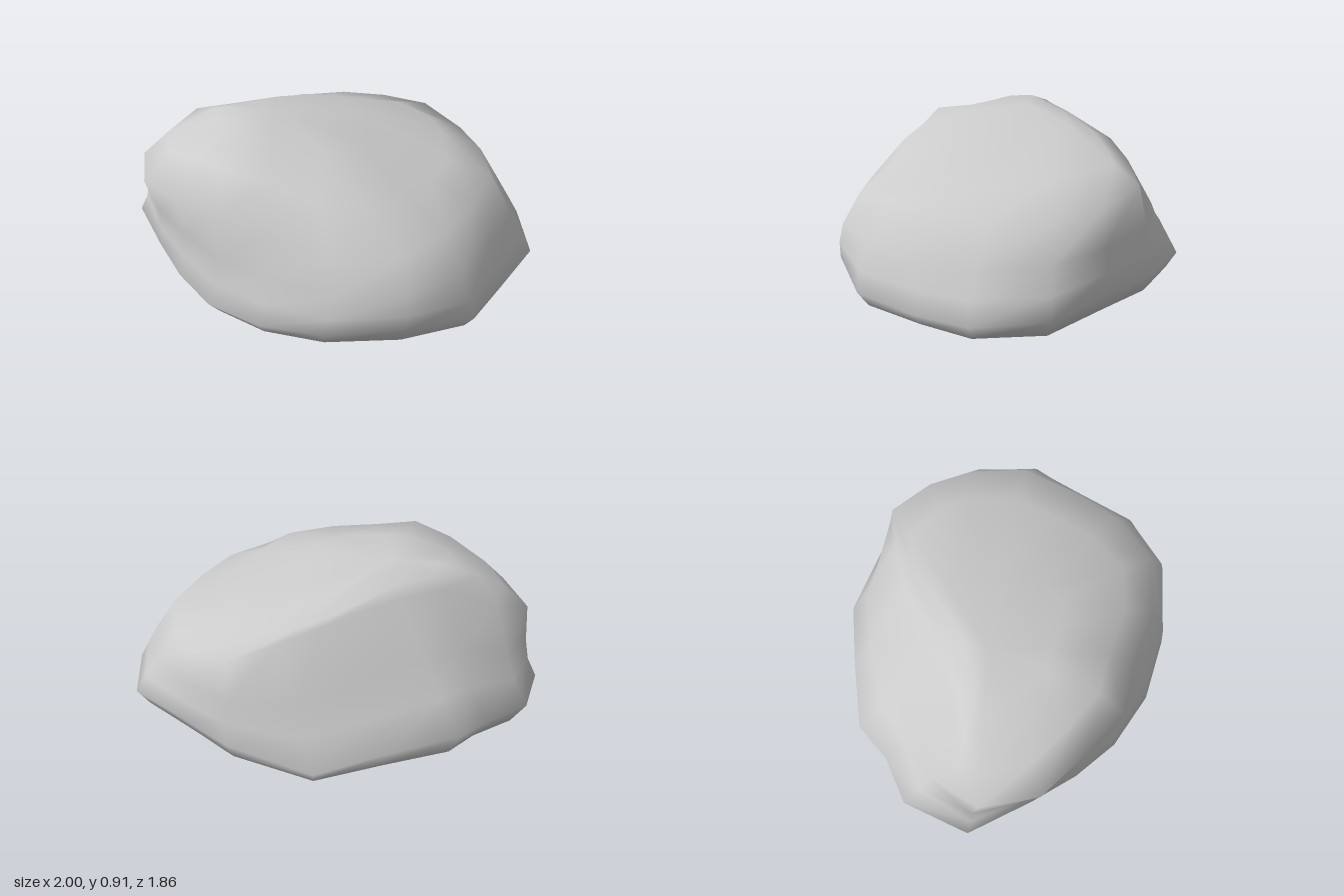
import * as THREE from 'three';

// Columns around the rock: widest point (x, y, z), then shoulder point (x, y, z)
const columns = [
  [1.0, 0.21, 0.18, 0.79, 0.6, 0.07],
  [0.89, 0.19, 0.52, 0.7, 0.6, 0.36],
  [0.62, 0.16, 0.7, 0.5, 0.6, 0.55],
  [0.35, 0.19, 0.91, 0.26, 0.59, 0.73],
  [-0.02, 0.24, 0.93, -0.01, 0.57, 0.82],
  [-0.38, 0.2, 0.79, -0.3, 0.56, 0.71],
  [-0.64, 0.18, 0.59, -0.54, 0.62, 0.49],
  [-0.82, 0.16, 0.33, -0.76, 0.66, 0.34],
  [-0.91, 0.18, 0.07, -0.89, 0.64, 0.09],
  [-0.96, 0.21, -0.2, -1.0, 0.62, -0.18],
  [-1.0, 0.22, -0.57, -0.95, 0.62, -0.48],
  [-0.75, 0.28, -0.83, -0.74, 0.69, -0.5],
  [-0.5, 0.27, -0.85, -0.46, 0.82, -0.44],
  [-0.3, 0.31, -0.93, -0.2, 0.83, -0.44],
  [0.05, 0.27, -0.86, 0.19, 0.8, -0.47],
  [0.4, 0.2, -0.78, 0.43, 0.75, -0.45],
  [0.72, 0.25, -0.47, 0.67, 0.68, -0.4],
  [0.84, 0.23, -0.18, 0.78, 0.62, -0.16],
];

// Height of the sloping top: highest at the back left, falling to the front and right
function topHeight(x, z) {
  const over = (v) => Math.max(0, v);
  return 0.91 - 0.25 * over(x + 0.1) - 0.08 * over(z + 0.25) - 0.23 * over(z - 0.12)
    - 0.4 * over(-0.3 - z) - 0.9 * over(-0.7 - x);
}

export function createModel() {
  const topCentre = [-0.3, -0.2];
  const baseCentre = [0.03, 0.02];
  const base = (scale, height) => ([x, y, z]) => [
    baseCentre[0] + (x - baseCentre[0]) * scale,
    height(y),
    baseCentre[1] + (z - baseCentre[1]) * scale,
  ];
  const cap = (scale) => (c) => {
    const x = topCentre[0] + (c[3] - topCentre[0]) * scale;
    const z = topCentre[1] + (c[5] - topCentre[1]) * scale;
    return [x, topHeight(x, z), z];
  };
  // The wall bulges out at the front, and is hollowed on the -x side and low at the back
  const wall = (t) => (c) => {
    const p = [0, 1, 2].map((k) => c[k] + (c[k + 3] - c[k]) * t);
    p[0] += 0.14 * t * (1 - t) * Math.max(0, -c[0]);
    p[2] += c[2] > 0 ? 0.17 * t * (1 - t) * c[2] : -0.5 * t * (1 - t) * (0.5 - t) * c[2];
    return p;
  };

  // Rings from the underside up to the top
  const rings = [
    base(0.4, () => 0.018),
    base(0.74, (y) => 0.02 + y * 0.17),
    base(0.94, (y) => y * 0.58),
    wall(0), wall(0.25), wall(0.55), wall(1),
    cap(0.8), cap(0.42),
  ];

  const n = columns.length;
  const positions = [];
  const index = [];
  rings.forEach((ring) => columns.forEach((c) => positions.push(...ring(c))));
  const bottom = rings.length * n;
  const top = bottom + 1;
  positions.push(baseCentre[0], 0, baseCentre[1]);
  positions.push(topCentre[0], topHeight(...topCentre), topCentre[1]);

  const last = (rings.length - 1) * n;
  for (let i = 0; i < n; i++) {
    const j = (i + 1) % n;
    for (let r = 0; r < last; r += n) {
      index.push(r + i, r + n + i, r + j, r + j, r + n + i, r + n + j);
    }
    index.push(bottom, i, j, top, last + j, last + i);
  }

  const geometry = new THREE.BufferGeometry();
  geometry.setAttribute('position', new THREE.Float32BufferAttribute(positions, 3));
  geometry.setIndex(index);
  geometry.computeVertexNormals();

  const rock = new THREE.Mesh(geometry, new THREE.MeshStandardMaterial({ color: 0xcccccc }));
  rock.name = 'rock';
  const group = new THREE.Group();
  group.name = 'boulder';
  group.add(rock);
  return group;
}
